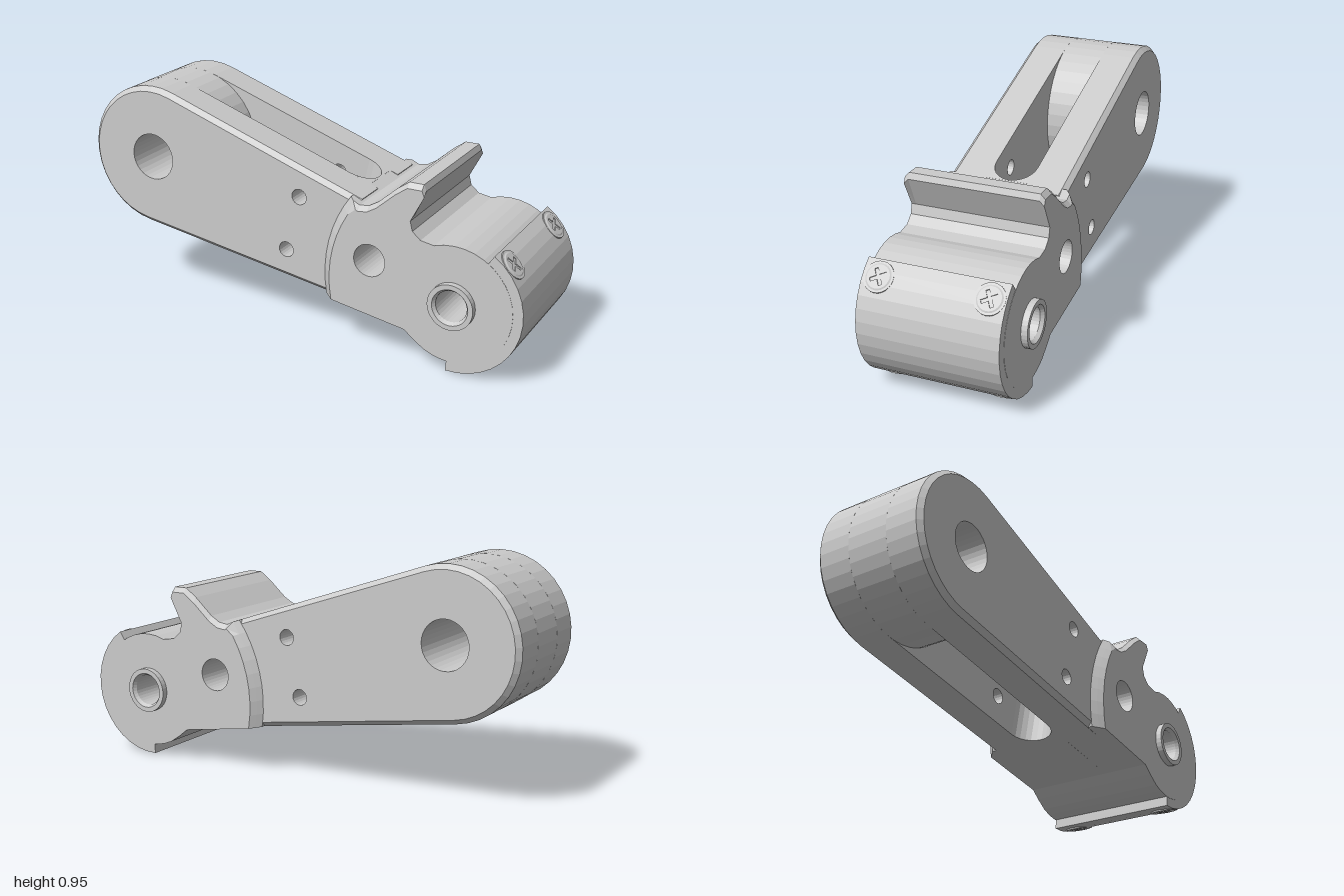
import * as THREE from 'three';

const material = new THREE.MeshStandardMaterial({ color: 0xcccccc, flatShading: true, side: THREE.DoubleSide });
const EYE = [-0.695, 0.64], EYE_R = 0.305, HUB = [0.71, 0.29], HUB_R = 0.245, SLOT = 0.09;

// Straight upper and lower edges of the arm
const topLine = x => 0.929 - 0.343 * (x + 0.596);
const bottomLine = x => 0.339 - 0.16 * (x + 0.743);

const v2 = list => list.map(([x, y]) => new THREE.Vector2(x, y));

// Points on an arc, angles in degrees
function arc([cx, cy], r, a0, a1, n = Math.max(2, Math.round(Math.abs(a1 - a0) / 10))) {
  return Array.from({ length: n + 1 }, (_, i) => {
    const a = THREE.MathUtils.degToRad(a0 + (a1 - a0) * i / n);
    return [cx + r * Math.cos(a), cy + r * Math.sin(a)];
  });
}
const circle = (c, r, n = 32) => arc(c, r, 0, 360, n).slice(0, -1);

// Solid through stacked counter-clockwise outlines [z, points], z ascending, with straight holes
function prism(name, levels, holes = []) {
  const pos = [];
  const wall = (a, za, b, zb) => a.forEach((p, i) => {
    const j = (i + 1) % a.length, q = a[j];
    pos.push(...p, za, ...q, za, ...b[j], zb, ...p, za, ...b[j], zb, ...b[i], zb);
  });
  const cap = ([z, pts], up) => {
    const shape = new THREE.Shape(v2(pts));
    shape.holes = holes.map(h => new THREE.Path(v2(h)));
    const g = new THREE.ShapeGeometry(shape), p = g.attributes.position, id = g.index.array;
    for (let i = 0; i < id.length; i += 3)
      for (const k of up ? [0, 1, 2] : [0, 2, 1]) pos.push(p.getX(id[i + k]), p.getY(id[i + k]), z);
  };
  const first = levels[0], last = levels[levels.length - 1];
  for (let i = 0; i + 1 < levels.length; i++) wall(levels[i][1], levels[i][0], levels[i + 1][1], levels[i + 1][0]);
  for (const h of holes) {
    const r = [...h].reverse();
    wall(r, first[0], r, last[0]);
  }
  cap(first, false);
  cap(last, true);
  const geo = new THREE.BufferGeometry();
  geo.setAttribute('position', new THREE.Float32BufferAttribute(pos, 3));
  geo.computeVertexNormals();
  const mesh = new THREE.Mesh(geo, material);
  mesh.name = name;
  return mesh;
}

const mirrored = levels => levels.map(([z, pts]) => [-z, pts]).reverse();

// Arm outline, inset by c
const armOutline = c => [
  ...arc(EYE, EYE_R - c, 71.1, 261, 20),
  [0.2, bottomLine(0.2) + c], [0.29, topLine(0.29) - c],
];

// Bracket outline: left end inset by c, upper edge lowered by d, or cut off at the slot end
function bracketOutline(c, d, cut = false) {
  const tooth = [[0.57, 0.53], [0.535, 0.56], [0.525, 0.6], [0.58, 0.725], [0.57, 0.75], [0.51, 0.75],
    [0.46, 0.715], [0.38, 0.645], [0.34, 0.622], [0.3, 0.617]];
  const left = cut ? [[0.25, topLine(0.25)], [0.145, bottomLine(0.145)]]
    : arc(HUB, 0.575 - c, 142.8 - 30 * c, 189.2 + 32 * c, 8).map(([x, y], i) => [x, i === 0 ? y - d : y]);
  return [
    [0.51, 0.138], [0.55, 0.105],
    ...arc(HUB, HUB_R, -117, 110),
    ...tooth.map(([x, y], i) => [x, i > 2 ? y - d : y]),
    ...left,
  ];
}

// Concave half-round end of the slot, leaning with the arm
function slotEnd() {
  const pts = [[0.005, -SLOT], [0.005, SLOT]];
  for (let i = 0; i <= 12; i++) {
    const a = Math.PI * (0.5 - i / 12);
    pts.push([-SLOT * (1 - Math.cos(a)), SLOT * Math.sin(a)]);
  }
  const geo = new THREE.ExtrudeGeometry(new THREE.Shape(v2(pts)), { depth: 1, bevelEnabled: false });
  const p = geo.attributes.position;
  for (let i = 0; i < p.count; i++) {
    const h = p.getZ(i), x = 0.145 + 0.105 * h + p.getX(i);
    p.setXYZ(i, x, h > 0.5 ? topLine(x) : bottomLine(x), -p.getY(i));
  }
  geo.computeVertexNormals();
  const mesh = new THREE.Mesh(geo, material);
  mesh.name = 'slotEnd';
  return mesh;
}

// Countersunk cross-head screw, facing local +z
function screw() {
  const g = new THREE.Group();
  g.name = 'screw';
  const w = 0.007, l = 0.034;
  const cross = [[w, w], [w, l], [-w, l], [-w, w], [-l, w], [-l, -w], [-w, -w], [-w, -l], [w, -l], [w, -w], [l, -w], [l, w]];
  const rim = circle([0, 0], 0.061, 24), head = circle([0, 0], 0.052, 24), edge = circle([0, 0], 0.046, 24);
  g.add(prism('screwRim', [[-0.02, rim], [0.001, rim]], [head]));
  g.add(prism('screwHead', [[-0.02, head], [0.001, head], [0.004, edge]], [cross]));
  return g;
}

export function createModel() {
  const model = new THREE.Group();
  model.name = 'linkArm';

  // Two arm cheeks with chamfered outer edges, joined by the eye core
  const eyeHole = circle(EYE, 0.1);
  const armHoles = [eyeHole, circle([0.017, 0.59], 0.033, 20), circle([-0.045, 0.35], 0.033, 20)];
  const arm = [[SLOT, armOutline(0)], [0.23, armOutline(0)], [0.25, armOutline(0.02)]];
  model.add(prism('armCheekFront', arm, armHoles), prism('armCheekBack', mirrored(arm), armHoles));
  const eye = circle(EYE, EYE_R, 38);
  model.add(prism('eyeCore', [[-SLOT, eye], [SLOT, eye]], [eyeHole]));
  model.add(slotEnd());

  // Wider toothed bracket around the end of the arm
  const bracketHoles = [circle([0.353, 0.4], 0.068), circle(HUB, 0.09)];
  const bracket = [
    [SLOT, bracketOutline(0, 0)], [0.25, bracketOutline(0, 0)],
    [0.27, bracketOutline(0.02, 0)], [0.289, bracketOutline(0.04, 0.02)],
  ];
  model.add(prism('bracketFront', bracket, bracketHoles), prism('bracketBack', mirrored(bracket), bracketHoles));
  const core = bracketOutline(0, 0, true);
  model.add(prism('bracketCore', [[-SLOT, core], [SLOT, core]], bracketHoles));

  // Curved cover wrapped round the hub
  const cover = [...arc(HUB, 0.286, -94, 56), ...arc(HUB, HUB_R - 0.006, 56, -94)];
  model.add(prism('hubCover', [[-0.288, cover], [0.288, cover]]));

  // Cover screws
  for (const angle of [42, -75]) for (const side of [-1, 1]) {
    const s = screw(), a = THREE.MathUtils.degToRad(angle);
    s.position.set(HUB[0] + 0.285 * Math.cos(a), HUB[1] + 0.285 * Math.sin(a), side * 0.222);
    s.rotation.set(0, Math.PI / 2, a, 'ZYX');
    s.rotateZ(0.5);
    model.add(s);
  }

  // Pivot bushing
  const profile = v2([[0.075, -0.315], [0.095, -0.315], [0.095, 0.315], [0.075, 0.315], [0.065, 0.3], [0.065, -0.3], [0.075, -0.315]]);
  const bushing = new THREE.Mesh(new THREE.LatheGeometry(profile, 32), material);
  bushing.name = 'pivotBushing';
  bushing.rotation.x = Math.PI / 2;
  bushing.position.set(...HUB, 0);
  model.add(bushing);

  return model;
}
